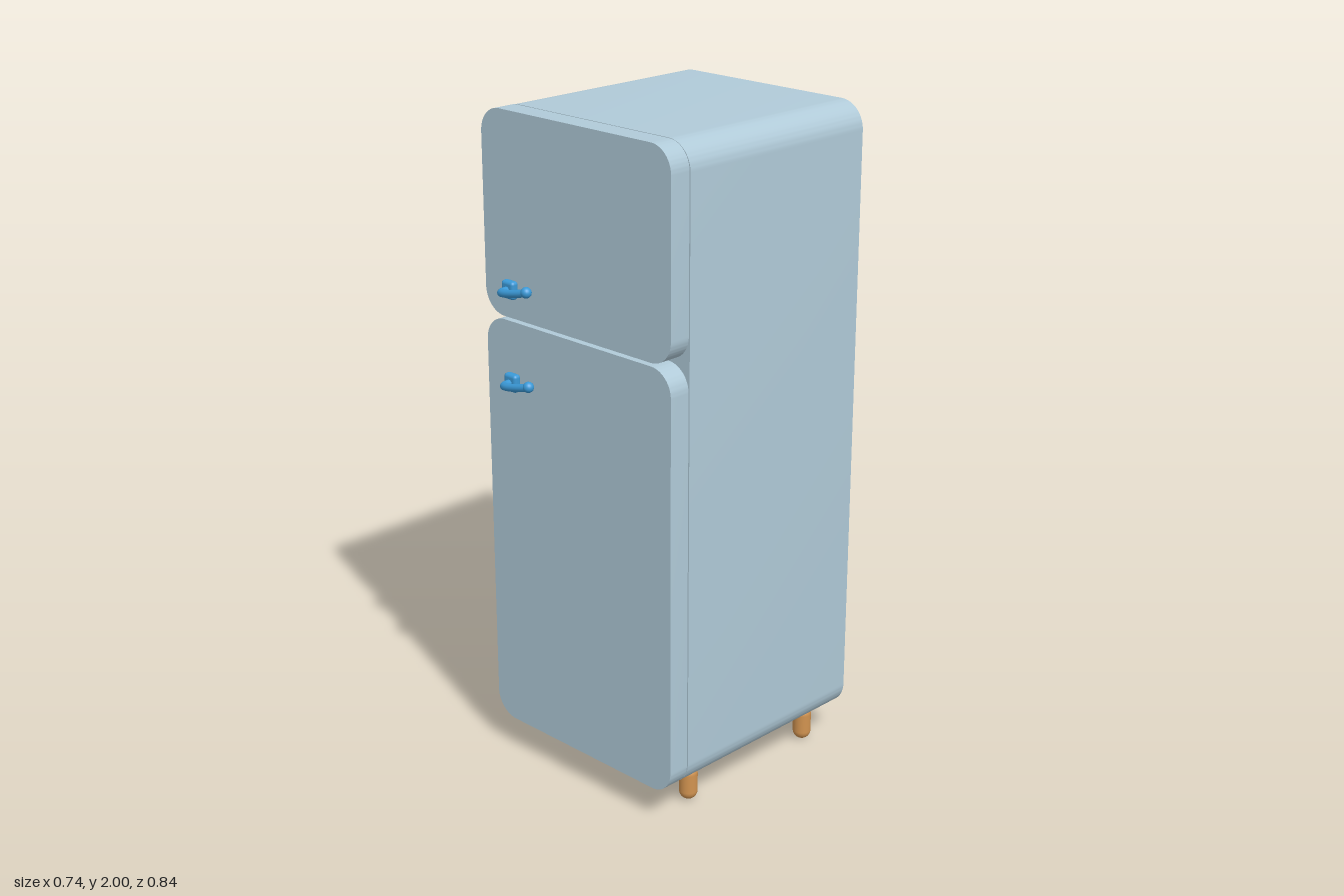
import * as THREE from 'three';
import { toCreasedNormals } from 'three/addons/utils/BufferGeometryUtils.js';
import { RoundedBoxGeometry } from 'three/addons/geometries/RoundedBoxGeometry.js';

const mat = (name, color) => {
  const m = new THREE.MeshStandardMaterial({ color });
  m.name = name;
  return m;
};

// Slab with rounded front outline, spanning y0..y1 and z0..z1
function roundedSlab(halfWidth, y0, y1, z0, z1, r) {
  const w = halfWidth;
  const s = new THREE.Shape();
  s.moveTo(-w + r, y0);
  s.lineTo(w - r, y0);
  s.absarc(w - r, y0 + r, r, -Math.PI / 2, 0, false);
  s.lineTo(w, y1 - r);
  s.absarc(w - r, y1 - r, r, 0, Math.PI / 2, false);
  s.lineTo(-w + r, y1);
  s.absarc(-w + r, y1 - r, r, Math.PI / 2, Math.PI, false);
  s.lineTo(-w, y0 + r);
  s.absarc(-w + r, y0 + r, r, Math.PI, Math.PI * 1.5, false);
  const g = new THREE.ExtrudeGeometry(s, { depth: z1 - z0, bevelEnabled: false, curveSegments: 10 });
  g.translate(0, 0, z0);
  return toCreasedNormals(g, 0.6);
}

export function createModel() {
  const model = new THREE.Group();
  model.name = 'refrigerator';
  const enamel = mat('pale blue enamel', 0xb0cad8);
  const blue = mat('blue handle', 0x3b9ad8);
  const wood = mat('wooden leg', 0xd19350);

  const add = (parent, name, geometry, material, x = 0, y = 0, z = 0) => {
    const mesh = new THREE.Mesh(geometry, material);
    mesh.name = name;
    mesh.position.set(x, y, z);
    parent.add(mesh);
    return mesh;
  };

  // Cabinet, and the two doors with their recessed seals
  add(model, 'cabinet', roundedSlab(0.37, 0.1, 2, -0.42, 0.276, 0.08), enamel);
  for (const [name, y0, y1] of [['fridge', 0.103, 1.392], ['freezer', 1.402, 2]]) {
    add(model, name + 'Door', roundedSlab(0.37, y0, y1, 0.28, 0.348, 0.075), enamel);
    add(model, name + 'Seal', roundedSlab(0.33, y0 + 0.04, y1 - 0.04, 0.275, 0.281, 0.05), enamel);
  }

  // Lever handles: rounded mount, bent bar and ball end
  for (const [name, y] of [['freezerHandle', 1.49], ['fridgeHandle', 1.212]]) {
    const handle = new THREE.Group();
    handle.name = name;
    handle.position.set(-0.257, y, 0);
    add(handle, 'mount', new RoundedBoxGeometry(0.05, 0.054, 0.026, 3, 0.01), blue, 0, 0, 0.357);
    const path = new THREE.CatmullRomCurve3([
      [0, 0, 0.36], [0.001, 0, 0.382], [0.006, 0.001, 0.395], [0.02, 0.003, 0.402],
      [0.06, 0.01, 0.405], [0.09, 0.017, 0.404], [0.117, 0.025, 0.4],
    ].map((p) => new THREE.Vector3(...p)));
    add(handle, 'lever', new THREE.TubeGeometry(path, 28, 0.0115, 12), blue);
    add(handle, 'ballEnd', new THREE.SphereGeometry(0.016, 20, 14), blue, 0.117, 0.025, 0.4);
    model.add(handle);
  }

  // Four rounded legs
  for (const x of [-0.292, 0.288]) {
    for (const z of [0.188, -0.322]) {
      add(model, 'leg', new THREE.CapsuleGeometry(0.028, 0.056, 8, 20), wood, x, 0.056, z);
    }
  }
  return model;
}
